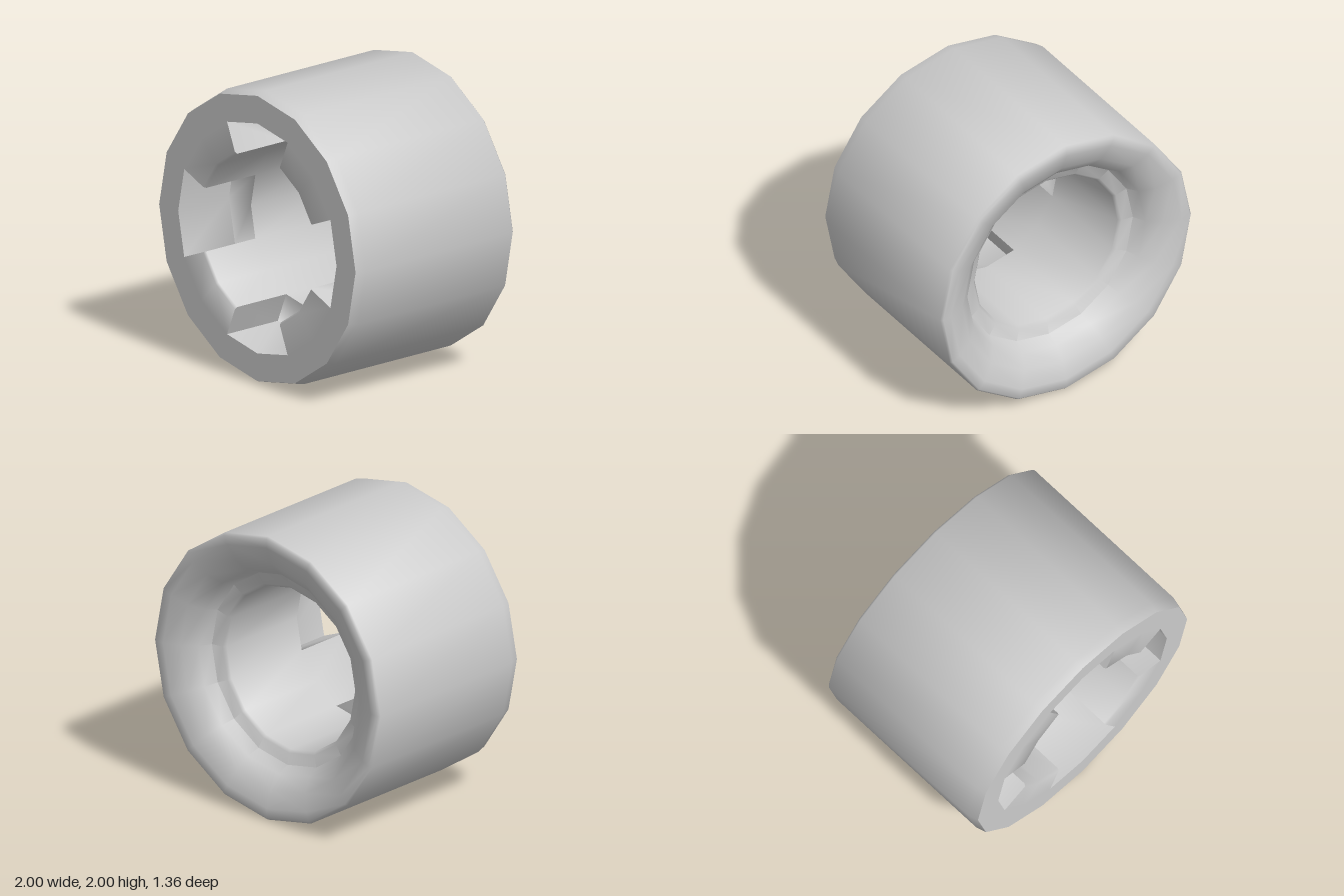
import * as THREE from 'three';
import { toCreasedNormals } from 'three/addons/utils/BufferGeometryUtils.js';

const SIDES = 16;
const BORE = 0.57, NOTCH = 0.79, FRONT = 0.68, FLOOR = 0.24;

// point on the ring at column i for a profile point [radius, z]
const at = ([r, z], i) => {
  const a = (i / SIDES) * Math.PI * 2;
  return [r * Math.cos(a), 1 + r * Math.sin(a), z];
};

// sweep one profile across a single side of the ring
function addStrip(out, profile, i) {
  for (let k = 0; k < profile.length - 1; k++) {
    addQuad(out, at(profile[k], i), at(profile[k + 1], i), at(profile[k + 1], i + 1), at(profile[k], i + 1));
  }
}

function addQuad(out, a, b, c, d) {
  out.push(...a, ...b, ...c, ...a, ...c, ...d);
}

function makeMesh(name, positions, crease) {
  const geometry = new THREE.BufferGeometry();
  geometry.setAttribute('position', new THREE.Float32BufferAttribute(positions, 3));
  const mesh = new THREE.Mesh(
    toCreasedNormals(geometry, crease),
    new THREE.MeshStandardMaterial({ color: 0xcccccc })
  );
  mesh.name = name;
  return mesh;
}

export function createModel() {
  const group = new THREE.Group();
  group.name = 'notchedCollar';

  // front face, outer wall, dished back and bore
  const shell = [
    [NOTCH, FRONT], [0.98, FRONT], [1, 0.61], [1, -0.665], [0.985, -0.68],
    [0.92, -0.675], [0.8, -0.635], [0.71, -0.56], [0.67, -0.475],
    [0.59, -0.46], [BORE, -0.44], [BORE, FLOOR]
  ];
  // inward lug between two notches
  const lug = [[BORE, FLOOR], [BORE, FRONT - 0.015], [BORE + 0.015, FRONT], [NOTCH, FRONT]];
  // notch end wall and floor
  const pocket = [[BORE, FLOOR], [NOTCH, FLOOR], [NOTCH, FRONT]];

  const ring = [];
  const notches = [[], [], [], []];
  for (let i = 0; i < SIDES; i++) {
    addStrip(ring, shell, i);
    const phase = i % 4;
    const notch = notches[Math.floor(((i + 1) % SIDES) / 4)];
    if (phase === 1 || phase === 2) addStrip(ring, lug, i);
    else addStrip(notch, pocket, i);

    // radial side walls of the notch
    if (phase === 1 || phase === 3) {
      const wall = [[BORE, FRONT - 0.015], [BORE + 0.015, FRONT], [NOTCH, FRONT], [NOTCH, FLOOR], [BORE, FLOOR]]
        .map((p) => at(p, i));
      if (phase === 1) wall.reverse();
      for (let k = 1; k < wall.length - 1; k++) notch.push(...wall[0], ...wall[k], ...wall[k + 1]);
    }
  }

  group.add(makeMesh('ringBody', ring, 0.95));
  notches.forEach((positions, n) => group.add(makeMesh(`frontNotch${n + 1}`, positions, 1.65)));
  return group;
}
